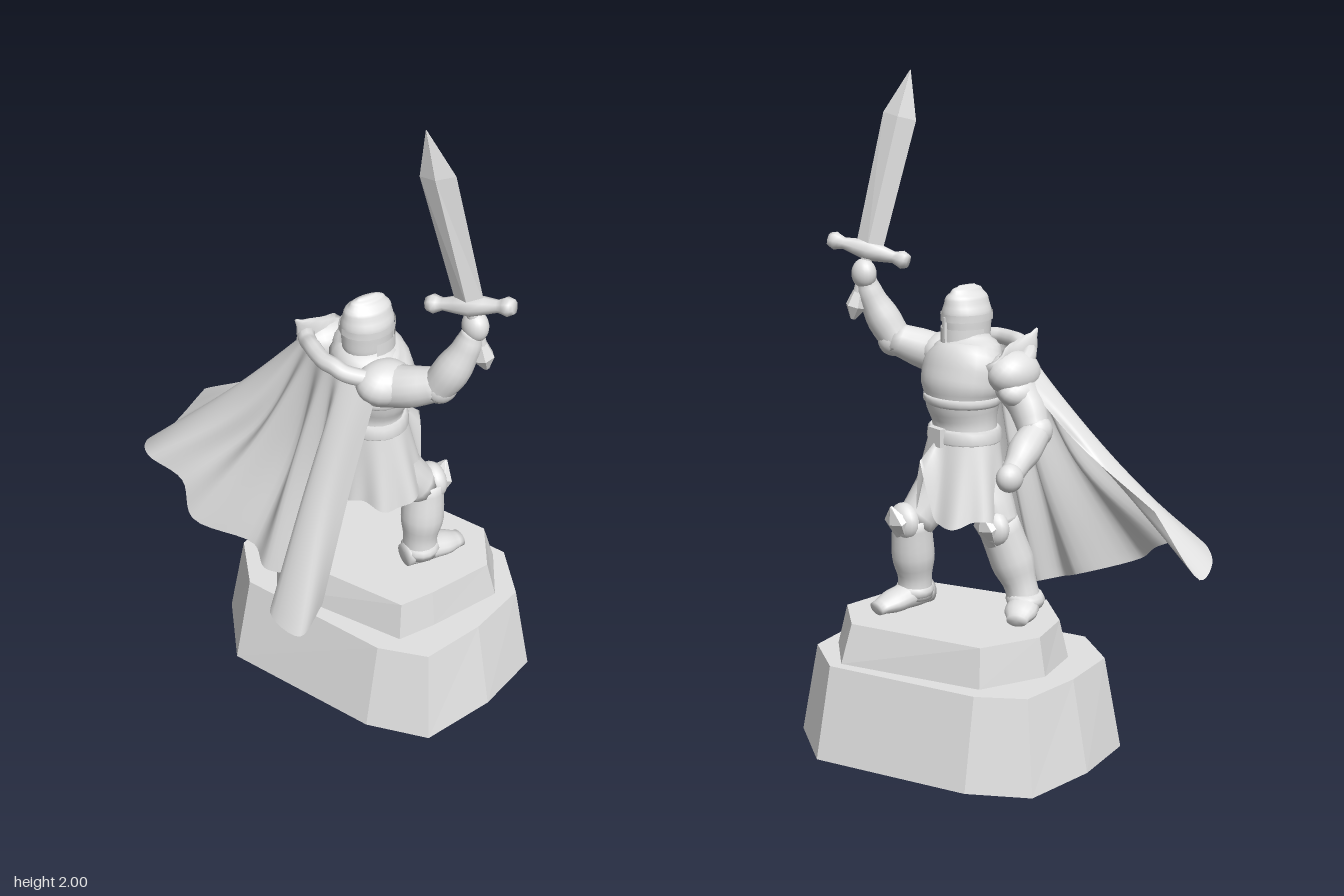
import * as THREE from 'three';

const stone = new THREE.MeshStandardMaterial({ color: 0xe2e2e2, side: THREE.DoubleSide });
stone.name = 'pale stone';
const V = (a) => new THREE.Vector3(a[0], a[1], a[2]);

function add(parent, name, geometry, pos) {
  const mesh = new THREE.Mesh(geometry, stone);
  mesh.name = name;
  if (pos) mesh.position.set(...pos);
  parent.add(mesh);
  return mesh;
}

function indexed(pos, index, flat) {
  let g = new THREE.BufferGeometry();
  g.setAttribute('position', new THREE.Float32BufferAttribute(pos, 3));
  g.setIndex(index);
  if (flat) g = g.toNonIndexed();
  g.computeVertexNormals();
  return g;
}

// Closed body through elliptical sections [x, y, z, a, b]; a lies along ref
function loft(secs, { sides = 16, steps = 4, ref = [1, 0, 0], flat = false } = {}) {
  const path = new THREE.CatmullRomCurve3(secs.map(V));
  const n = (secs.length - 1) * steps;
  const pos = [], index = [];
  for (let r = -1; r <= n + 1; r++) {
    const i = Math.min(n, Math.max(0, r));
    const f = i / steps, k = Math.min(secs.length - 2, Math.floor(f)), w = f - k;
    const p = path.getPoint(i / n), t = path.getTangent(i / n);
    const u = V(ref).addScaledVector(t, -V(ref).dot(t)).normalize();
    const v = t.clone().cross(u);
    const size = (j) => {
      const s0 = secs[k][j] ?? secs[k][3], s1 = secs[k + 1][j] ?? secs[k + 1][3];
      return r !== i ? 0 : THREE.MathUtils.lerp(s0, s1, steps > 1 ? w * w * (3 - 2 * w) : w);
    };
    for (let s = 0; s < sides; s++) {
      const q = (s / sides) * Math.PI * 2;
      const c = p.clone().addScaledVector(u, size(3) * Math.cos(q)).addScaledVector(v, size(4) * Math.sin(q));
      pos.push(c.x, c.y, c.z);
    }
  }
  for (let r = 0; r < n + 2; r++) for (let s = 0; s < sides; s++) {
    const a = r * sides + s, b = r * sides + (s + 1) % sides;
    index.push(a, b, a + sides, b, b + sides, a + sides);
  }
  return indexed(pos, index, flat);
}

// Open sheet from a point rule
function sheet(nu, nv, f) {
  const pos = [], index = [];
  for (let j = 0; j <= nv; j++) for (let i = 0; i <= nu; i++) pos.push(...f(i / nu, j / nv));
  for (let j = 0; j < nv; j++) for (let i = 0; i < nu; i++) {
    const a = j * (nu + 1) + i, c = a + nu + 1;
    index.push(a, a + 1, c, a + 1, c + 1, c);
  }
  return indexed(pos, index);
}

// Faceted tier between two outlines of [x, z]
function tier(low, high, y0, y1) {
  const pos = [], n = low.length;
  const mid = (pts) => [0, 1].map((k) => pts.reduce((s, p) => s + p[k], 0) / n);
  const at = (p, y) => pos.push(p[0], y, p[1]);
  for (let i = 0; i < n; i++) {
    const j = (i + 1) % n;
    at(low[j], y0); at(low[i], y0); at(high[i], y1);
    at(low[j], y0); at(high[i], y1); at(high[j], y1);
    at(mid(high), y1); at(high[j], y1); at(high[i], y1);
    at(mid(low), y0); at(low[i], y0); at(low[j], y0);
  }
  return indexed(pos, [...Array(n * 12).keys()], true);
}

function ball(parent, name, pos, scale, rot = [0, 0, 0]) {
  const m = add(parent, name, new THREE.SphereGeometry(1, 20, 14), pos);
  m.scale.set(...scale);
  m.rotation.set(...rot);
}

function makePedestal(root) {
  const whole = (half) => half.concat(half.map(([x, z]) => [0.12 - x, 0.138 - z]));
  const low = whole([[0.167, -0.405], [0.3, -0.26], [0.497, 0.204], [0.397, 0.426], [0.19, 0.51]]);
  const high = whole([[0.14, -0.35], [0.25, -0.24], [0.437, 0.213], [0.365, 0.385], [0.18, 0.455]]);
  add(root, 'pedestalBase', tier(low, high, 0, 0.28));
  const top = [[0, -0.235], [0.19, -0.195], [0.365, 0.2], [0.28, 0.345], [0.07, 0.365], [-0.04, 0.365], [-0.225, 0], [-0.14, -0.16]];
  const foot = top.map(([x, z]) => [0.07 + (x - 0.07) * 1.12, 0.07 + (z - 0.07) * 1.05]);
  add(root, 'pedestalTop', tier(foot, top, 0.28, 0.4));
}

function makeLegs(root) {
  add(root, 'hips', loft([[0, 0.94, 0.12, 0.09, 0.11], [0, 0.86, 0.12, 0.1, 0.12], [0.01, 0.77, 0.12, 0.06, 0.09]]));
  const legs = [
    { thigh: [[0.02, 0.84, 0.17, 0.075], [0.065, 0.75, 0.185, 0.07], [0.13, 0.67, 0.2, 0.06]],
      shin: [[0.14, 0.69, 0.2, 0.06], [0.128, 0.57, 0.21, 0.066], [0.12, 0.49, 0.213, 0.052], [0.12, 0.43, 0.215, 0.054]],
      toe: [1, 0], size: 1.14, knee: [0.18, 0.69, 0.2] },
    { thigh: [[-0.02, 0.84, 0.07, 0.075], [-0.025, 0.75, 0.03, 0.07], [-0.035, 0.67, 0.0, 0.064]],
      shin: [[-0.03, 0.69, 0.0, 0.064], [-0.065, 0.57, -0.025, 0.066], [-0.08, 0.49, -0.05, 0.05], [-0.085, 0.43, -0.065, 0.05]],
      toe: [0.8, -0.6], size: 0.85, knee: [0.01, 0.69, -0.015] },
  ];
  for (const L of legs) {
    add(root, 'thigh', loft(L.thigh));
    add(root, 'greave', loft(L.shin));
    const [x, y, z] = L.shin[3], [tx, tz] = L.toe;
    const step = (d, h, a, b) => [x + tx * d * L.size, y + h, z + tz * d * L.size, a, b];
    add(root, 'boot', loft([step(-0.05, 0.008, 0.037, 0.035), step(0, 0.012, 0.042, 0.047),
      step(0.065, 0.002, 0.034, 0.05), step(0.125, -0.01, 0.02, 0.032)], { ref: [0, 1, 0] }));
    add(root, 'cuff', loft([[x, 0.475, z, 0.05], [x, 0.455, z, 0.06], [x, 0.435, z, 0.053]], { steps: 2 }));
    // Pointed knee guard
    const [kx, ky, kz] = L.knee;
    ball(root, 'kneeGuard', [kx - 0.014, ky - 0.01, kz], [0.04, 0.058, 0.058]);
    add(root, 'kneePoint', loft([[kx - 0.01, ky - 0.06, kz, 0.02, 0.03], [kx + 0.015, ky, kz, 0.03, 0.05], [kx + 0.035, ky + 0.045, kz, 0.004]],
      { sides: 6, steps: 1, flat: true }));
  }
}

function makeBody(root) {
  add(root, 'breastplate', loft([[0, 0.9, 0.12, 0.1, 0.118], [0, 0.98, 0.12, 0.09, 0.106], [0.003, 1.05, 0.125, 0.106, 0.122], [0, 1.1, 0.127, 0.116, 0.14],
    [-0.01, 1.15, 0.13, 0.11, 0.145], [-0.03, 1.2, 0.14, 0.088, 0.118], [-0.035, 1.24, 0.145, 0.06, 0.065]], { sides: 24 }));
  add(root, 'breastplateRim', loft([[0.003, 1.035, 0.125, 0.1, 0.114], [0.003, 1.05, 0.125, 0.112, 0.128], [0.003, 1.07, 0.125, 0.109, 0.127]], { sides: 24, steps: 2 }));
  add(root, 'belt', loft([[0, 0.972, 0.12, 0.094, 0.112], [0, 0.965, 0.12, 0.102, 0.12], [0, 0.935, 0.12, 0.106, 0.124], [0, 0.928, 0.12, 0.1, 0.118]], { sides: 24, steps: 1 }));
  add(root, 'buckle', new THREE.BoxGeometry(0.02, 0.055, 0.06), [0.104, 0.95, 0.12]);
  // Pleated tunic skirt, split at the front
  add(root, 'tunicSkirt', sheet(96, 8, (u, v) => {
    const q = (u - 0.5) * Math.PI * 2, a = Math.abs(q);
    const wave = 1 + 0.05 * v * Math.cos(q * 9);
    const hem = 0.705 + 0.17 * Math.max(0, 1 - a / 0.28) + 0.012 * Math.cos(q * 5);
    return [0.02 * v + Math.cos(q) * (0.096 + 0.044 * v) * wave, 0.95 + (hem - 0.95) * v, 0.12 - Math.sin(q) * (0.116 + 0.05 * v) * wave];
  }));
  add(root, 'gorget', loft([[-0.035, 1.18, 0.145, 0.1, 0.12], [-0.035, 1.215, 0.145, 0.085, 0.09], [-0.035, 1.23, 0.145, 0.06, 0.06]], { steps: 2 }));
}

function makeHelmet(root) {
  const cx = -0.033, cz = 0.15;
  add(root, 'helmet', loft([[cx, 1.195, cz, 0.066, 0.057], [cx, 1.24, cz, 0.076, 0.063], [cx, 1.3, cz, 0.08, 0.066],
    [cx, 1.345, cz, 0.072, 0.05], [cx, 1.372, cz, 0.054, 0.024], [cx, 1.385, cz, 0.03, 0.006]], { sides: 24 }));
  // Brow band and cheek plates leave the eye slit between them
  const plate = (name, q0, q1, y0, y1, g) => add(root, name, sheet(16, 2, (u, v) => {
    const q = q0 + (q1 - q0) * u;
    return [cx + Math.cos(q) * (0.077 + g), y0 + (y1 - y0) * v, cz + Math.sin(q) * (0.064 + g)];
  }));
  plate('browBand', -Math.PI, Math.PI, 1.283, 1.305, 0.007);
  for (const s of [-1, 1]) plate('cheekPlate', s * 0.15, s * 1.7, 1.195, 1.262, 0.006);
  add(root, 'noseGuard', new THREE.BoxGeometry(0.012, 0.08, 0.01), [cx + 0.08, 1.258, cz]);
}

function makeArms(root) {
  // Raised sword arm
  add(root, 'raisedUpperArm', loft([[-0.045, 1.14, 0.23, 0.068], [0, 1.165, 0.315, 0.06], [0.06, 1.195, 0.385, 0.05]]));
  add(root, 'raisedForearm', loft([[0.05, 1.175, 0.375, 0.048], [0.08, 1.25, 0.41, 0.053], [0.115, 1.33, 0.43, 0.04], [0.13, 1.38, 0.435, 0.031]]));
  ball(root, 'raisedElbowGuard', [0.06, 1.19, 0.388], [0.052, 0.05, 0.046]);
  ball(root, 'raisedFist', [0.135, 1.395, 0.435], [0.036, 0.046, 0.042]);
  ball(root, 'raisedPauldron', [-0.045, 1.165, 0.262], [0.085, 0.06, 0.07], [0.3, 0, 0]);
  // Lowered arm
  add(root, 'loweredUpperArm', loft([[-0.07, 1.13, -0.01, 0.066], [-0.085, 1.05, -0.07, 0.055], [-0.08, 0.98, -0.11, 0.047]]));
  add(root, 'loweredForearm', loft([[-0.09, 0.985, -0.11, 0.045], [-0.02, 0.945, -0.14, 0.05], [0.04, 0.91, -0.17, 0.037], [0.07, 0.895, -0.185, 0.034]], { ref: [0, 1, 0] }));
  ball(root, 'loweredElbowGuard', [-0.085, 0.985, -0.11], [0.05, 0.05, 0.05]);
  ball(root, 'loweredFist', [0.08, 0.89, -0.192], [0.042, 0.042, 0.036]);
  ball(root, 'loweredPauldron', [-0.07, 1.145, -0.025], [0.088, 0.065, 0.068], [-0.6, 0, 0]);
  ball(root, 'pauldronPlate', [-0.075, 1.095, -0.052], [0.076, 0.045, 0.052], [-0.6, 0, 0]);
  // Upswept fin on the lowered shoulder
  add(root, 'pauldronFin', loft([[0.0, 1.14, 0.01, 0.05, 0.018], [-0.07, 1.17, -0.01, 0.065, 0.02], [-0.13, 1.21, -0.012, 0.042, 0.014], [-0.175, 1.26, -0.005, 0.004]],
    { sides: 10, steps: 3 }));
}

function makeSword(root) {
  const sword = new THREE.Group();
  sword.name = 'sword';
  const Y = new THREE.Vector3(-0.11, 0.535, -0.07).normalize();
  const X = new THREE.Vector3(0.145, 0.04, 0.2);
  X.addScaledVector(Y, -X.dot(Y)).normalize();
  sword.quaternion.setFromRotationMatrix(new THREE.Matrix4().makeBasis(X, Y, X.clone().cross(Y)));
  sword.position.set(0.12, 1.465, 0.43);
  add(sword, 'blade', loft([[0, 0, 0, 0.042, 0.021], [0, 0.41, 0, 0.052, 0.02], [0, 0.55, 0, 0.001, 0.001]], { sides: 4, steps: 1, flat: true }));
  add(sword, 'crossguard', loft([[-0.128, 0, 0, 0.02], [-0.108, 0, 0, 0.028], [-0.08, 0, 0, 0.018], [0, 0, 0, 0.032],
    [0.08, 0, 0, 0.018], [0.108, 0, 0, 0.028], [0.128, 0, 0, 0.02]], { sides: 8, steps: 2, ref: [0, 1, 0] }));
  add(sword, 'grip', new THREE.CylinderGeometry(0.018, 0.018, 0.17, 12), [0, -0.085, 0]);
  add(sword, 'pommel', loft([[0, -0.215, 0, 0.008], [0, -0.175, 0, 0.032], [0, -0.13, 0, 0.02]], { sides: 6, steps: 1, flat: true }));
  root.add(sword);
}

function makeCape(root) {
  // Each row runs across the cape: collar, middle, hem
  const rows = [
    [[-0.05, 1.16, -0.06], [-0.08, 1.17, -0.05], [-0.12, 1.19, -0.03], [-0.145, 1.2, 0], [-0.155, 1.2, 0.03], [-0.165, 1.21, 0.07],
      [-0.17, 1.21, 0.11], [-0.17, 1.21, 0.15], [-0.16, 1.21, 0.18], [-0.145, 1.2, 0.21], [-0.11, 1.19, 0.24], [-0.06, 1.18, 0.265]],
    [[-0.17, 0.95, -0.2], [-0.21, 0.92, -0.24], [-0.27, 0.91, -0.23], [-0.29, 0.89, -0.15], [-0.25, 0.86, -0.1], [-0.29, 0.85, -0.05],
      [-0.21, 0.82, 0.03], [-0.25, 0.8, 0.08], [-0.19, 0.8, 0.13], [-0.26, 0.8, 0.18], [-0.23, 0.8, 0.24], [-0.15, 0.8, 0.25]],
    [[-0.265, 0.78, -0.43], [-0.345, 0.585, -0.54], [-0.445, 0.61, -0.49], [-0.49, 0.64, -0.38], [-0.435, 0.6, -0.27], [-0.455, 0.53, -0.17],
      [-0.32, 0.47, -0.03], [-0.33, 0.44, 0.05], [-0.27, 0.42, 0.11], [-0.39, 0.4, 0.19], [-0.35, 0.37, 0.3], [-0.25, 0.42, 0.26]],
  ].map((r) => new THREE.CatmullRomCurve3(r.map(V)));
  add(root, 'cape', sheet(66, 20, (u, v) => {
    const [a, b, c] = rows.map((r) => r.getPoint(u));
    return new THREE.CatmullRomCurve3([a, b, c]).getPoint(v).toArray();
  }));
  // Rolled collar over the shoulders
  add(root, 'capeCollar', new THREE.TubeGeometry(rows[0], 44, 0.025, 10));
}

export function createModel() {
  const root = new THREE.Group();
  root.name = 'knightStatue';
  [makePedestal, makeLegs, makeBody, makeHelmet, makeArms, makeSword, makeCape].forEach((make) => make(root));
  return root;
}
